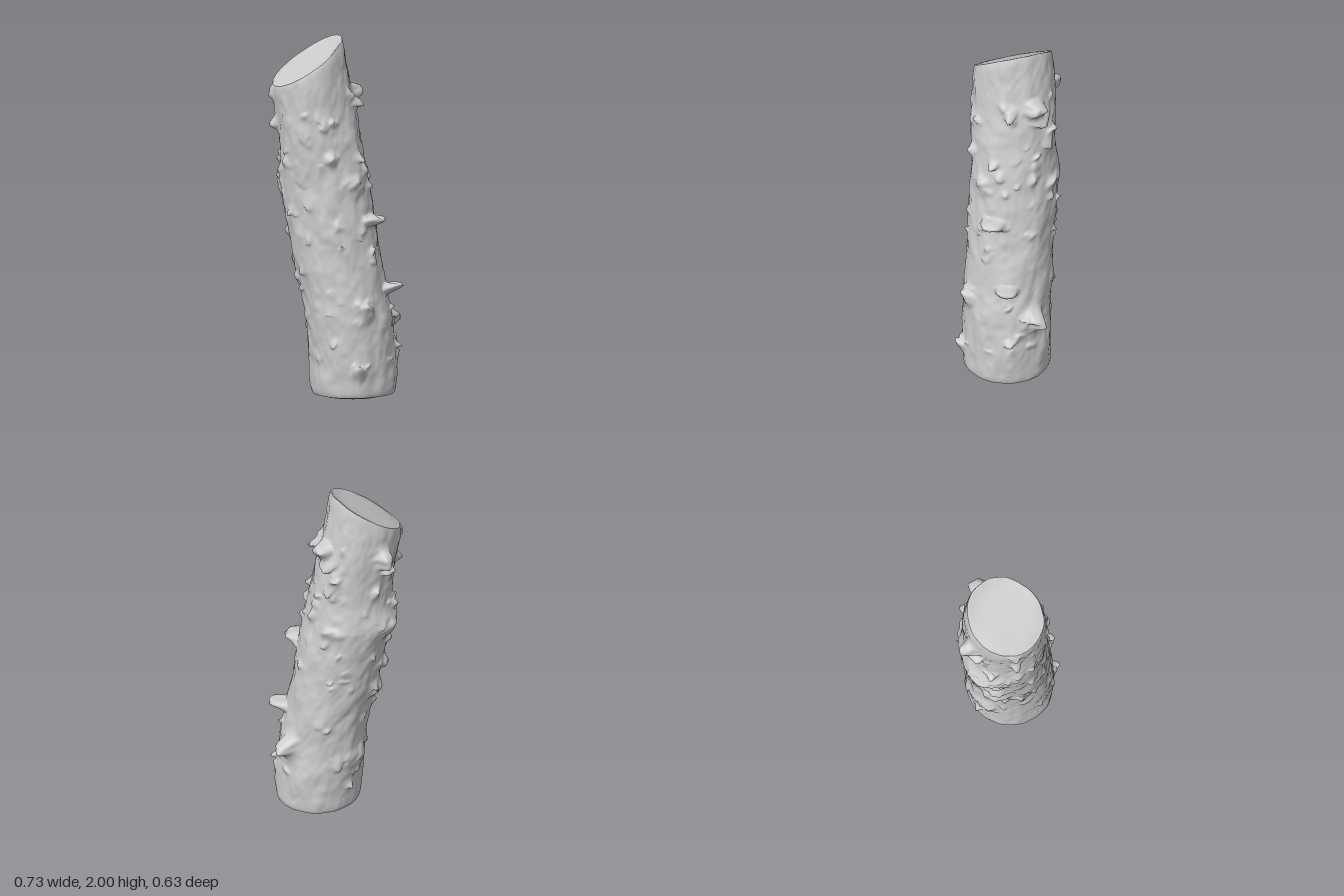
import * as THREE from 'three';

const SIDES = 128, RINGS = 200;

// Trunk profile: height, xMin, xMax, zMin, zMax
const PROFILE = [
  [0.0, -0.112, 0.356, -0.248, 0.244],
  [0.2, -0.12, 0.352, -0.247, 0.246],
  [0.4, -0.14, 0.337, -0.238, 0.25],
  [0.6, -0.165, 0.302, -0.23, 0.262],
  [0.8, -0.215, 0.27, -0.22, 0.274],
  [1.0, -0.26, 0.235, -0.21, 0.281],
  [1.2, -0.297, 0.207, -0.2, 0.286],
  [1.35, -0.288, 0.182, -0.188, 0.294],
  [1.5, -0.292, 0.152, -0.176, 0.303],
  [1.7, -0.322, 0.115, -0.156, 0.313],
  [1.85, -0.325, 0.088, -0.137, 0.317],
  [2.0, -0.325, 0.068, -0.12, 0.316],
];

function sectionAt(y) {
  let k = 0;
  while (k < PROFILE.length - 2 && PROFILE[k + 1][0] < y) k++;
  const a = PROFILE[k], b = PROFILE[k + 1];
  const t = THREE.MathUtils.clamp((y - a[0]) / (b[0] - a[0]), 0, 1);
  const [x0, x1, z0, z1] = [1, 2, 3, 4].map((i) => a[i] + (b[i] - a[i]) * t);
  return { cx: (x0 + x1) / 2, rx: (x1 - x0) / 2, cz: (z0 + z1) / 2, rz: (z1 - z0) / 2 };
}

// Slanted saw cut at the top
const cutHeight = (x, z) => 1.87 + 0.37 * (x + 0.13) - 0.46 * (z - 0.1);

let seed = 7;
function random() {
  seed = (seed * 16807) % 2147483647;
  return seed / 2147483647;
}

// Smooth value noise in the range -1..1
function hash(i, j, k) {
  let h = Math.imul(i, 374761393) ^ Math.imul(j, 668265263) ^ Math.imul(k, 1274126177);
  h = Math.imul(h ^ (h >>> 13), 1103515245);
  return (((h ^ (h >>> 16)) >>> 0) / 4294967295) * 2 - 1;
}
function noise(x, y, z) {
  const i = Math.floor(x), j = Math.floor(y), k = Math.floor(z);
  const [u, v, w] = [x - i, y - j, z - k].map((t) => t * t * (3 - 2 * t));
  const mix = THREE.MathUtils.lerp;
  const layer = (c) => mix(mix(hash(i, j, c), hash(i + 1, j, c), u),
    mix(hash(i, j + 1, c), hash(i + 1, j + 1, c), u), v);
  return mix(layer(k), layer(k + 1), w);
}

// Bumps: angle (from +x towards +z), height, reach, width, tallness, sharpness, droop
function makeBumps() {
  const bumps = [
    [-0.12, 0.99, 0.08, 0.05, 0.03, 4, 0.02],
    [-0.47, 0.6, 0.085, 0.042, 0.028, 4, 0.025],
    [-1.17, 0.41, 0.1, 0.04, 0.05, 2, -0.01],
    [-1.0, 1.69, 0.075, 0.05, 0.04, 4, 0.01],
    [-1.2, 1.62, 0.035, 0.07, 0.035, 2, -0.04],
    [-2.7, 1.66, 0.055, 0.03, 0.05, 2, 0.02],
    [-2.9, 1.57, 0.045, 0.03, 0.025, 4, -0.01],
    [0.55, 0.49, 0.045, 0.04, 0.045, 2, 0.04],
    [3.1, 1.2, 0.035, 0.12, 0.07, 2, 0],
    [2.9, 0.92, 0.035, 0.04, 0.04, 2, -0.02],
    [3.0, 0.76, 0.03, 0.07, 0.05, 2, -0.02],
    [-3.0, 0.33, 0.03, 0.06, 0.06, 2, 0],
    [-1.6, 1.19, 0.03, 0.05, 0.03, 2, 0.02],
    [0.3, 1.2, 0.03, 0.06, 0.05, 2, 0.02],
  ];
  for (let i = 0; i < 110; i++) {
    const angle = (random() * 2 - 1) * Math.PI;
    const size = 0.011 + 0.016 * random();
    // The front face is worn smoother
    const wear = Math.abs(angle - 1.65) < 0.75 ? 0.45 : 1;
    bumps.push([angle, 0.12 + 1.6 * random(), wear * (0.01 + 0.032 * random() ** 2),
      size, size * (0.7 + 0.9 * random()), 2, 0.06 * (random() - 0.5)]);
  }
  return bumps;
}

// Closed rings joined into a smooth surface
function ringSurface(rings) {
  const n = rings[0].length, index = [];
  for (let i = 0; i < rings.length - 1; i++) {
    for (let j = 0; j < n; j++) {
      const a = i * n + j, b = i * n + ((j + 1) % n);
      index.push(a, a + n, b, b, a + n, b + n);
    }
  }
  const geometry = new THREE.BufferGeometry().setFromPoints(rings.flat());
  geometry.setIndex(index);
  geometry.computeVertexNormals();
  return geometry;
}

function barkRings() {
  const bumps = makeBumps(), rings = [], top = sectionAt(1.87);
  for (let i = 0; i <= RINGS; i++) {
    const t = i / RINGS, ring = [];
    // Slightly rounded edges at both ends
    const inset = 0.01 * Math.exp(-t * 110) + 0.007 * Math.exp(-(1 - t) * 90);
    const fade = 0.4 + 0.6 * THREE.MathUtils.smoothstep(Math.min(t, 1 - t), 0, 0.05);
    for (let j = 0; j < SIDES; j++) {
      const angle = (j / SIDES) * Math.PI * 2, c = Math.cos(angle), s = Math.sin(angle);
      const slant = cutHeight(top.cx + top.rx * c, top.cz + top.rz * s) - 1.87;
      let y = 0.012 + 1.858 * t + slant * THREE.MathUtils.smoothstep(t, 0.5, 1);
      const sec = sectionAt(y);
      // Bark: broad swells, long ridges and fine grain
      let push = 0.008 * noise(c * 2.2 + 9, y * 5, s * 2.2)
        + 0.006 * noise(c * 5, y * 11 + 3, s * 5 + 7)
        + 0.003 * noise(c * 11 + 4, y * 25, s * 11);
      // Ragged outlines for the bumps
      const ragged = noise(c * 9, y * 38 + 5, s * 9 + 2);
      const wobble = 0.02 * noise(c * 8 + 3, y * 30, s * 8 + 1);
      let lift = 0;
      for (const [ba, by, reach, w, h, sharp, droop] of bumps) {
        const dy = Math.abs(y - by + 0.4 * wobble) / h;
        if (dy > 3) continue;
        const da = (Math.atan2(Math.sin(angle - ba), Math.cos(angle - ba)) * 0.23 + wobble) / w;
        const g = Math.exp(-((da * da + dy * dy) ** (sharp / 2)));
        push += reach * g * (1 + 0.3 * ragged);
        lift += droop * g;
      }
      push = push * fade - inset;
      y += lift * fade;
      ring.push(new THREE.Vector3(sec.cx + (sec.rx + push) * c, y, sec.cz + (sec.rz + push) * s));
    }
    rings.push(ring);
  }
  return rings;
}

// Cut end: the rim shrunk in steps to its centre, levelled onto the saw plane
function cutRings(rim, planeHeight) {
  const centre = rim.reduce((sum, p) => sum.add(p), new THREE.Vector3()).divideScalar(rim.length);
  return [1, 0.95, 0.88, 0.7, 0.5, 0.3, 0.15, 0].map((f) => rim.map((p) => {
    const q = centre.clone().lerp(p, f);
    const level = planeHeight(q.x, q.z) + 0.003 * noise(q.x * 9, 5, q.z * 9);
    q.y = THREE.MathUtils.lerp(level, p.y, THREE.MathUtils.smoothstep(f, 0.85, 1));
    return q;
  }));
}

export function createModel() {
  const model = new THREE.Group();
  model.name = 'log';
  const material = new THREE.MeshStandardMaterial({ color: 0xcccccc });
  const add = (name, rings) => {
    const mesh = new THREE.Mesh(ringSurface(rings), material);
    mesh.name = name;
    model.add(mesh);
  };
  const bark = barkRings();
  add('bark', bark);
  add('topCut', cutRings(bark[RINGS], cutHeight));
  add('bottomCut', cutRings(bark[0], () => 0.004).reverse());
  return model;
}
